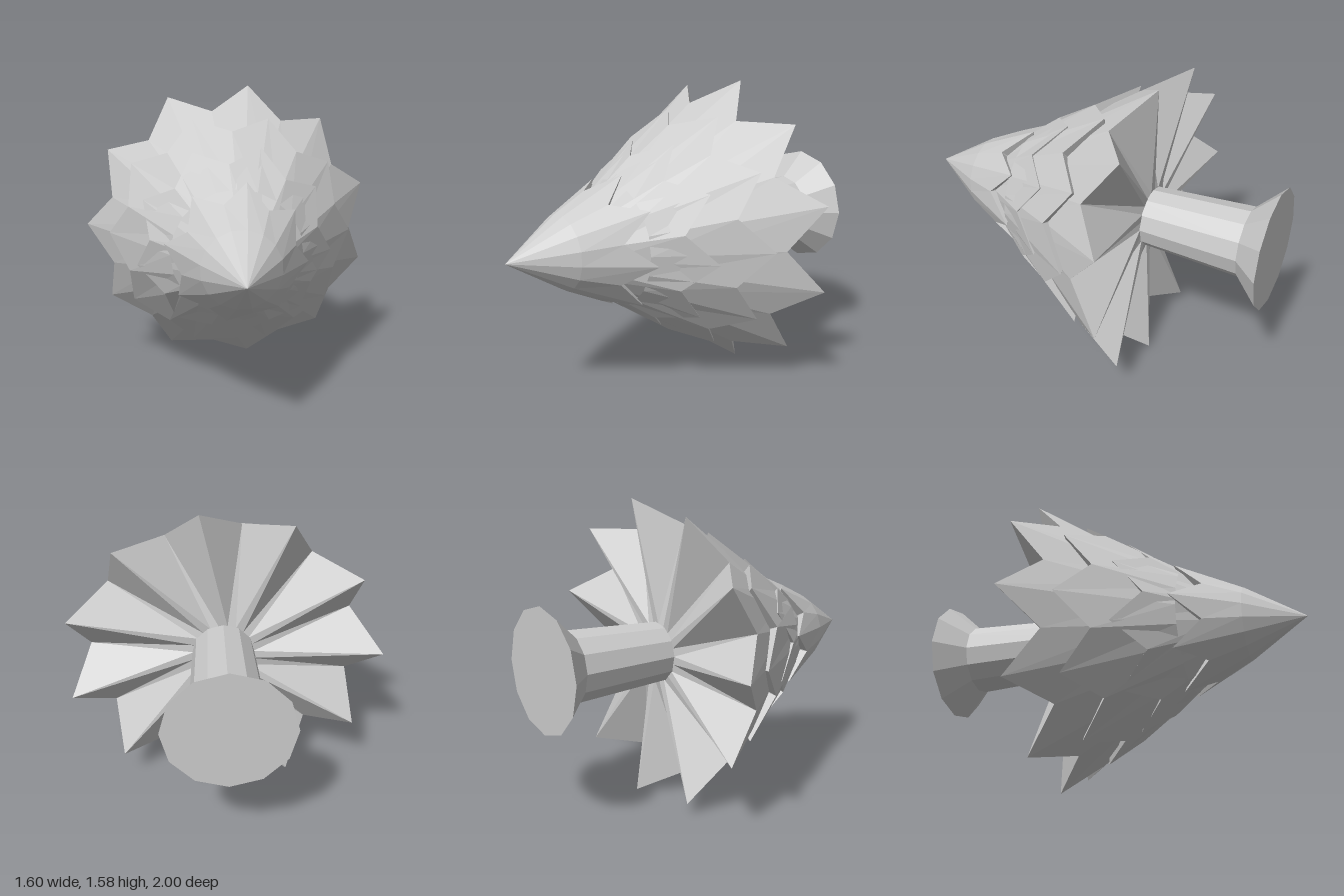
import * as THREE from 'three';

const AXIS = 0.78; // height of the lying tree's axis

// Skin a stack of rings, each a list of [x, y, z] points, ordered from apex to back.
function skin(rings) {
  const pos = [];
  for (let i = 0; i + 1 < rings.length; i++) {
    const a = rings[i], b = rings[i + 1], n = a.length;
    for (let j = 0; j < n; j++) {
      const k = (j + 1) % n;
      pos.push(...a[j], ...b[j], ...b[k]);
      if (i > 0 || a[j][0] !== a[k][0] || a[j][1] !== a[k][1]) pos.push(...a[j], ...b[k], ...a[k]);
    }
  }
  const g = new THREE.BufferGeometry();
  g.setAttribute('position', new THREE.Float32BufferAttribute(pos, 3));
  g.computeVertexNormals();
  return g;
}

// One tier of foliage: rings above the rim, a zigzag rim and a folded underside.
function tier({ count, turn, top, tip, valley, inner }) {
  const n = count * 2;
  const ring = (odd, even) => Array.from({ length: n }, (_, j) => {
    const [r, z] = j % 2 ? odd : even;
    const t = THREE.MathUtils.degToRad(turn) + (j / n) * Math.PI * 2;
    return [r * 1.02 * Math.cos(t), r * Math.sin(t), z];
  });
  return skin([...top.map((p) => ring(p, p)), ring(valley, tip), ring(inner, inner)]);
}

export function createModel() {
  const model = new THREE.Group();
  const grey = new THREE.MeshStandardMaterial({ color: 0xcccccc });
  grey.name = 'plain grey';
  grey.flatShading = true;

  const add = (name, geometry) => {
    const mesh = new THREE.Mesh(geometry, grey);
    mesh.name = name;
    mesh.position.y = AXIS;
    model.add(mesh);
  };

  // Foliage tiers, radius and z pairs, from the widest to the pointed crown
  const tiers = [
    { count: 11, turn: 180, top: [[0.4, 0.2]], tip: [0.8, -0.39], valley: [0.67, -0.21], inner: [0.15, -0.33] },
    { count: 10, turn: 180, top: [[0.33, 0.38]], tip: [0.66, -0.15], valley: [0.575, 0.01], inner: [0.15, -0.08] },
    { count: 9, turn: 154, top: [[0.18, 0.58]], tip: [0.52, 0.09], valley: [0.435, 0.24], inner: [0.13, 0.15] },
    { count: 8, turn: 37, top: [[0, 1], [0.195, 0.69]], tip: [0.365, 0.35], valley: [0.285, 0.5], inner: [0.1, 0.42] },
  ];
  tiers.forEach((t, i) => add(`foliageTier${i + 1}`, tier(t)));

  // Trunk with a flared foot, lying along -z
  const foot = new THREE.CylinderGeometry(0.185, 0.32, 0.14, 12, 1).rotateX(Math.PI / 2).translate(0, 0, -0.93);
  const trunk = new THREE.CylinderGeometry(0.155, 0.185, 0.61, 12, 1, true).rotateX(Math.PI / 2).translate(0, 0, -0.555);
  add('trunk', trunk);
  add('trunkFoot', foot);
  return model;
}
